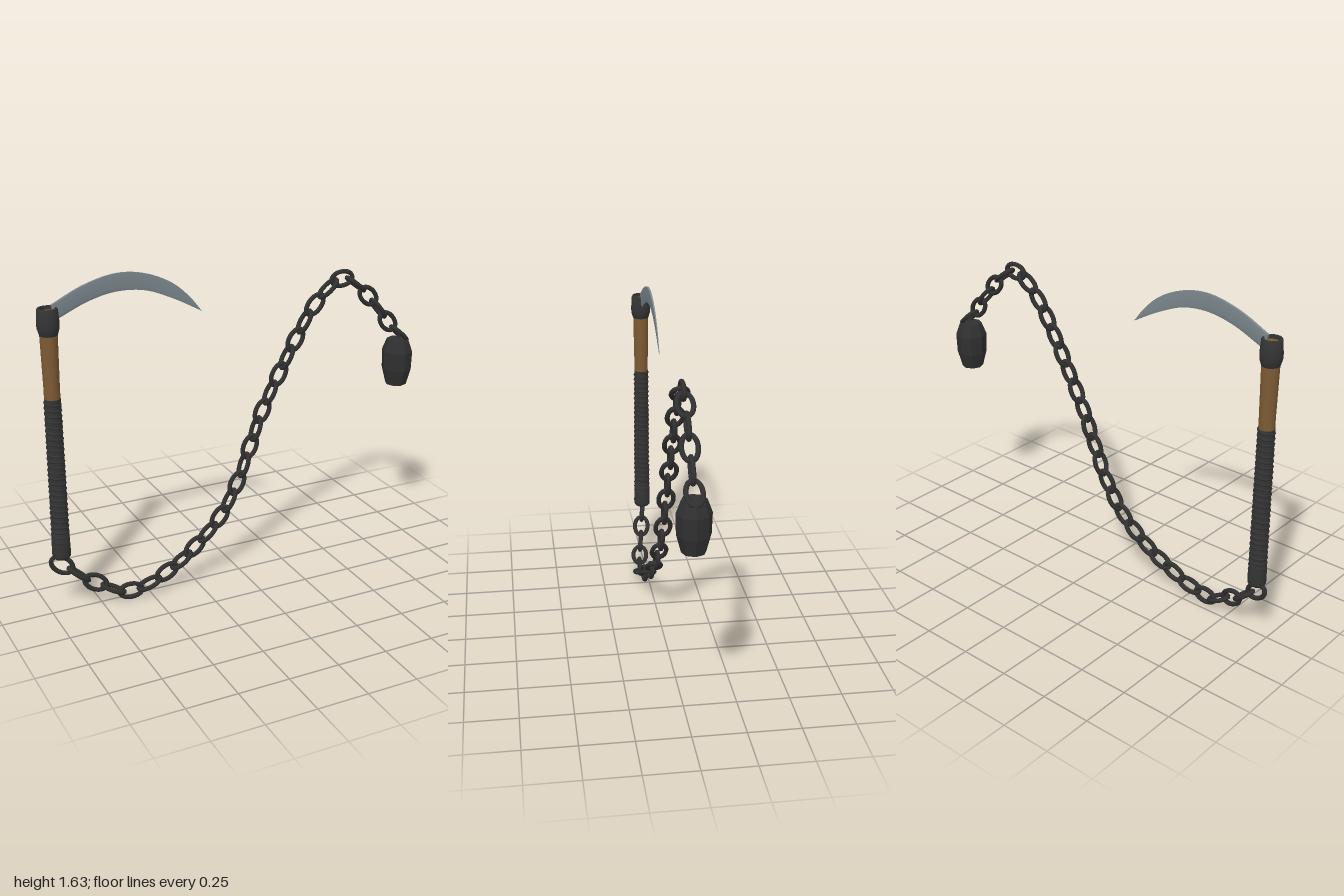
import * as THREE from 'three';
import { toCreasedNormals } from 'three/addons/utils/BufferGeometryUtils.js';

const mat = (name, color) => new THREE.MeshStandardMaterial({ name, color });
const V = (x, y, z = 0) => new THREE.Vector3(x, y, z);

export function createModel() {
  const wood = mat('wood', 0x7c5a34);
  const wrap = mat('dark wrap', 0x343434);
  const iron = mat('dark iron', 0x303031);
  const steel = mat('steel', 0x7d898f);

  const model = new THREE.Group();
  model.name = 'chainSickle';
  const add = (parent, name, geometry, material) => {
    const mesh = new THREE.Mesh(geometry, material);
    mesh.name = name;
    parent.add(mesh);
    return mesh;
  };
  const lathe = (profile, sides) => toCreasedNormals(
    new THREE.LatheGeometry(profile.map(([r, y]) => new THREE.Vector2(r, y)), sides), 0.6);

  // Handle: wooden shaft, spiral wrap, bottom cap and top ferrule
  const handle = new THREE.Group();
  handle.name = 'handle';
  handle.position.set(-0.935, 0, -0.013);
  model.add(handle);
  add(handle, 'shaft', lathe([[0, 1.0], [0.037, 1.0], [0.037, 1.15], [0.041, 1.4], [0.037, 1.5], [0, 1.512]], 20), wood);
  add(handle, 'wrapCore', lathe([[0, 0.32], [0.041, 0.32], [0.038, 1.095], [0, 1.1]], 20), wrap);
  const turns = 27;
  const helix = [];
  for (let i = 0; i <= turns * 12; i++) {
    const a = (i / 12) * Math.PI * 2;
    const t = i / (turns * 12);
    const r = 0.038 - 0.003 * t;
    helix.push(V(Math.cos(a) * r, 0.34 + 0.75 * t, Math.sin(a) * r));
  }
  add(handle, 'spiralWrap',
    new THREE.TubeGeometry(new THREE.CatmullRomCurve3(helix), turns * 16, 0.007, 6), wrap);
  add(handle, 'bottomCap', lathe(
    [[0, 0.287], [0.036, 0.287], [0.044, 0.298], [0.045, 0.32], [0.042, 0.42], [0.036, 0.43]], 16), wrap);
  add(handle, 'ferrule', lathe(
    [[0.036, 1.385], [0.042, 1.395], [0.051, 1.425], [0.052, 1.45], [0.048, 1.51], [0.044, 1.518], [0.036, 1.518], [0.036, 1.49]], 16), wrap);

  // Curved blade with a bevelled inner edge
  const back = new THREE.CatmullRomCurve3([V(-0.916, 1.528), V(-0.765, 1.599), V(-0.604, 1.636),
    V(-0.47, 1.62), V(-0.337, 1.561), V(-0.246, 1.481), V(-0.187, 1.406)]);
  const edge = new THREE.CatmullRomCurve3([V(-0.9, 1.455), V(-0.738, 1.524), V(-0.604, 1.551),
    V(-0.47, 1.54), V(-0.337, 1.487), V(-0.187, 1.406)]);
  const steps = 32;
  const positions = [];
  const index = [0, 4, 3, 0, 3, 2, 0, 2, 1];
  for (let i = 0; i <= steps; i++) {
    const t = i / steps;
    const o = back.getPointAt(t);
    const e = edge.getPointAt(t);
    const m = e.clone().lerp(o, 0.22);
    const h = 0.007 * (1 - 0.8 * t);
    for (const [p, z] of [[o, h], [m, h], [e, 0], [m, -h], [o, -h]]) positions.push(p.x, p.y, z);
    if (i === steps) break;
    for (let j = 0; j < 5; j++) {
      const a = i * 5 + j;
      const b = i * 5 + (j + 1) % 5;
      index.push(a, b, b + 5, a, b + 5, a + 5);
    }
  }
  const bladeGeometry = new THREE.BufferGeometry();
  bladeGeometry.setAttribute('position', new THREE.Float32BufferAttribute(positions, 3));
  bladeGeometry.setIndex(index);
  add(model, 'blade', toCreasedNormals(bladeGeometry, 0.5), steel).position.z = -0.015;

  // Chain: oval links along a path, every second one turned a quarter
  const oval = [];
  for (let i = 0; i < 16; i++) {
    const a = (i / 16) * Math.PI * 2;
    oval.push(V(Math.cos(a) * 0.059, Math.sin(a) * 0.036));
  }
  const linkGeometry = new THREE.TubeGeometry(
    new THREE.CatmullRomCurve3(oval, true), 28, 0.0115, 8, true);
  const path = [
    V(-0.936, 0.246, -0.013), V(-0.781, 0.128, 0.015), V(-0.61, 0.053, 0.04), V(-0.417, 0.107, 0.037),
    V(-0.257, 0.203, 0.022), V(-0.112, 0.332, 0.01), V(-0.011, 0.492, 0), V(0.064, 0.674, -0.007),
    V(0.134, 0.85, -0.011), V(0.225, 1.027, -0.013), V(0.316, 1.193, -0.013), V(0.422, 1.358, -0.013),
    V(0.572, 1.471, -0.013), V(0.727, 1.364, -0.013), V(0.85, 1.214, -0.013), V(1.0, 1.07, -0.013)];
  const curve = new THREE.CatmullRomCurve3(path);
  const chain = new THREE.Group();
  chain.name = 'chain';
  model.add(chain);
  const spans = path.length - 1;
  for (let i = 0; i < spans * 2; i++) {
    const t = i / (spans * 2);
    const x = curve.getTangent(t);
    const y = V(0, 0, 1).cross(x).normalize();
    const z = x.clone().cross(y);
    const link = add(chain, 'link', linkGeometry, iron);
    link.quaternion.setFromRotationMatrix(new THREE.Matrix4().makeBasis(x, y, z));
    if (i % 2) link.rotateX(Math.PI / 2);
    link.position.copy(curve.getPoint(t));
  }

  // Eight-sided weight at the end of the chain
  const weight = new THREE.LatheGeometry([[0, 0.872], [0.054, 0.872], [0.076, 0.955], [0.079, 1.05],
    [0.056, 1.112], [0, 1.112]].map(([r, y]) => new THREE.Vector2(r, y)), 8);
  add(model, 'weight', toCreasedNormals(weight, 0.1), iron).position.set(0.917, 0, -0.013);

  return model;
}
